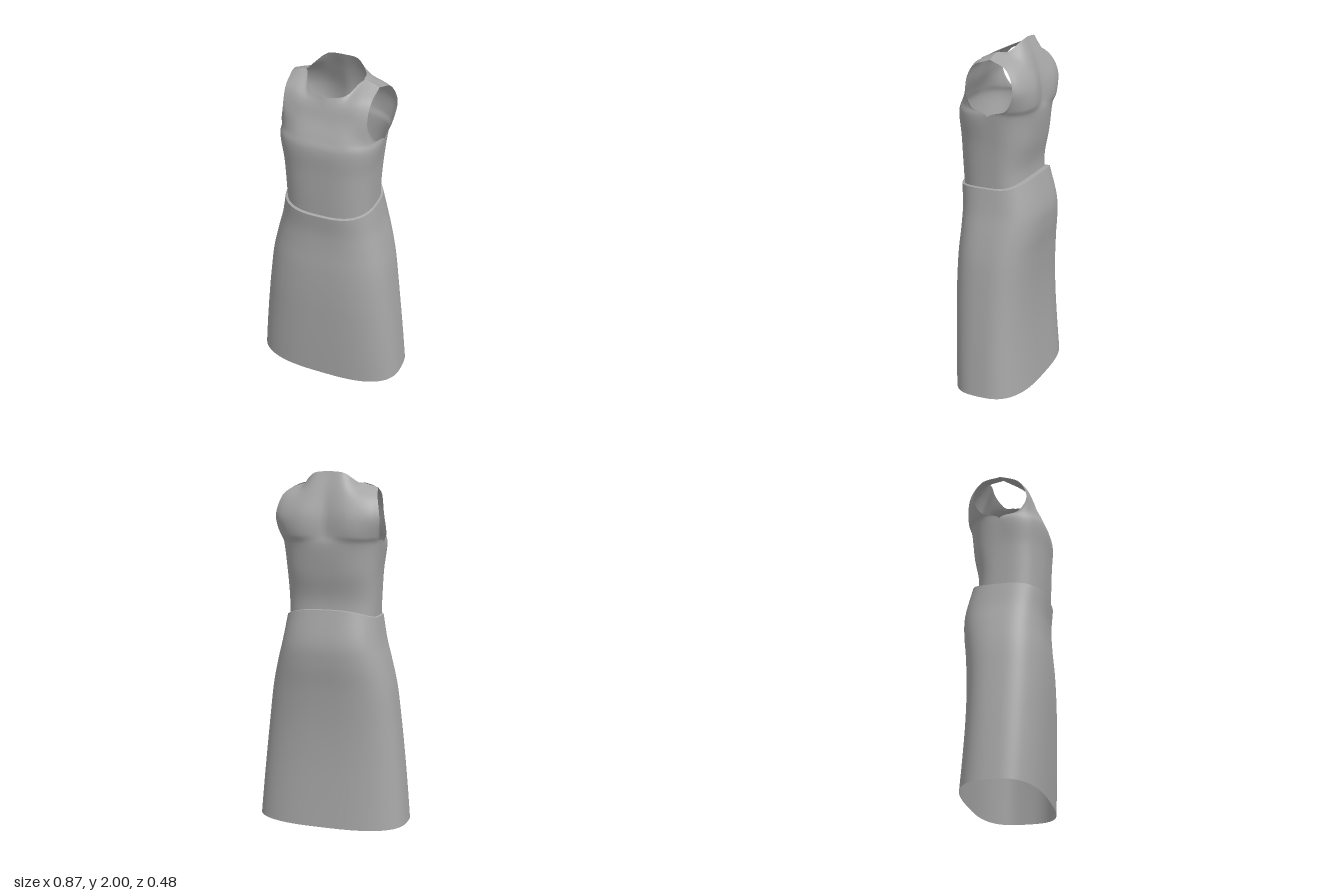
import * as THREE from 'three';
import { mergeGeometries, mergeVertices } from 'three/addons/utils/BufferGeometryUtils.js';

const V = (x, y, z) => new THREE.Vector3(x, y, z);

// Rounded-box cross-section: y, half width, front depth, back depth, lift of front and back edge
function ringPoint([y, w, f, b, liftF = 0, liftB = 0], a, n = 2.9) {
  const s = Math.sin(a), c = Math.cos(a);
  const p = v => Math.sign(v) * Math.pow(Math.abs(v) < 1e-9 ? 0 : Math.abs(v), 2 / n);
  return V(w * p(s), y + (c > 0 ? liftF : liftB) * c * c, p(c) * (c > 0 ? f : b));
}

// Surface from a rows x cols grid of points
function grid(rows, cols, pointAt, flip = false) {
  const pos = [], idx = [];
  for (let i = 0; i <= rows; i++)
    for (let j = 0; j <= cols; j++) pos.push(...pointAt(i, j).toArray());
  for (let i = 0; i < rows; i++)
    for (let j = 0; j < cols; j++) {
      const a = i * (cols + 1) + j, b = a + 1, d = a + cols + 1, c = d + 1;
      if (flip) idx.push(a, c, b, a, d, c);
      else idx.push(a, b, c, a, c, d);
    }
  const g = new THREE.BufferGeometry();
  g.setAttribute('position', new THREE.Float32BufferAttribute(pos, 3));
  g.setIndex(idx);
  return g;
}

function smooth(geometries) {
  const g = mergeVertices(mergeGeometries(geometries), 1e-4);
  g.computeVertexNormals();
  return g;
}

// Flared skirt, from hem to waist seam
const skirtRings = [
  [0.02, 0.436, 0.222, 0.228, -0.015, -0.008],
  [0.2, 0.42, 0.23, 0.215],
  [0.4, 0.4, 0.236, 0.205],
  [0.6, 0.377, 0.24, 0.205],
  [0.8, 0.35, 0.236, 0.218],
  [0.95, 0.316, 0.226, 0.236],
  [1.06, 0.287, 0.225, 0.238],
  [1.2, 0.261, 0.238, 0.195, -0.02, 0.05],
];
const waistLip = [1.205, 0.252, 0.222, 0.163, -0.02, 0.045];

// Bodice rings from waist to bust
const bodiceRings = [
  [1.16, 0.25, 0.222, 0.168],
  [1.3, 0.254, 0.23, 0.16],
  [1.45, 0.262, 0.236, 0.187],
  [1.61, 0.28, 0.242, 0.204],
];

// Rows above the bust, each from the centre line to the armhole; the last is neckline and shoulder
const frontRows = [
  [[0, 1.665, 0.222], [0.13, 1.665, 0.215], [0.2, 1.66, 0.185], [0.24, 1.655, 0.15], [0.264, 1.654, 0.106]],
  [[0, 1.75, 0.182], [0.11, 1.755, 0.18], [0.175, 1.76, 0.17], [0.215, 1.76, 0.16], [0.237, 1.76, 0.15]],
  [[0, 1.82, 0.16], [0.095, 1.84, 0.15], [0.165, 1.865, 0.13], [0.21, 1.868, 0.115], [0.238, 1.866, 0.106]],
  [[0, 1.87, 0.145], [0.1, 1.886, 0.115], [0.162, 1.935, 0], [0.2, 1.928, 0], [0.245, 1.91, 0]],
];
const backRows = [
  [[0, 1.66, -0.195], [0.13, 1.66, -0.212], [0.21, 1.655, -0.19], [0.262, 1.655, -0.15], [0.285, 1.654, -0.106]],
  [[0, 1.76, -0.186], [0.12, 1.76, -0.211], [0.2, 1.76, -0.2], [0.26, 1.76, -0.178], [0.295, 1.76, -0.15]],
  [[0, 1.89, -0.152], [0.1, 1.88, -0.165], [0.17, 1.87, -0.155], [0.23, 1.87, -0.13], [0.272, 1.866, -0.106]],
  [[0, 2, -0.108], [0.085, 1.99, -0.108], [0.15, 1.94, -0.06], [0.162, 1.935, 0], [0.245, 1.91, 0]],
];

// One quarter of the bodice, side +1 or -1 in x
function bodicePanel(rows, back, side) {
  const N = 20, M = 56, last = bodiceRings.length - 1;
  const rowCurves = rows.map(r => new THREE.CatmullRomCurve3(r.map(p => V(...p))));
  const columns = [];
  for (let j = 0; j <= N; j++) {
    const a = (j / N) * Math.PI / 2;
    const low = bodiceRings.map(r => ringPoint(r, back ? Math.PI - a : a));
    const pts = [...low, ...rowCurves.map(c => c.getPoint(j / N))];
    columns.push({ all: new THREE.CatmullRomCurve3(pts), low: new THREE.CatmullRomCurve3(low), n: pts.length - 1 });
  }
  return grid(M, N, (i, j) => {
    const c = columns[j], t = (i / M) * c.n;
    // the side seam stays closed up to the underarm
    const p = j === N && t <= last ? c.low.getPoint(t / last) : c.all.getPoint(i / M);
    p.x *= side;
    return p;
  }, back !== (side < 0));
}

function skirtGeometry() {
  const N = 80, M = 42;
  const columns = [];
  for (let j = 0; j <= N; j++) {
    const a = ((j % N) / N) * Math.PI * 2;
    columns.push(new THREE.CatmullRomCurve3(skirtRings.map(r => ringPoint(r, a))));
  }
  return smooth([grid(M, N, (i, j) => columns[j].getPoint(i / M))]);
}

function lipGeometry() {
  const N = 80, top = skirtRings[skirtRings.length - 1];
  return smooth([grid(1, N, (i, j) => ringPoint(i ? waistLip : top, ((j % N) / N) * Math.PI * 2))]);
}

export function createModel() {
  const group = new THREE.Group();
  group.name = 'dress';
  const fabric = new THREE.MeshStandardMaterial({ color: 0xa6a6a6, side: THREE.DoubleSide });
  fabric.name = 'grey fabric';

  const add = (name, geometry) => {
    const mesh = new THREE.Mesh(geometry, fabric);
    mesh.name = name;
    group.add(mesh);
  };

  add('skirt', skirtGeometry());
  add('waistSeam', lipGeometry());
  add('bodice', smooth([1, -1].flatMap(s => [
    bodicePanel(frontRows, false, s),
    bodicePanel(backRows, true, s),
  ])));
  return group;
}
